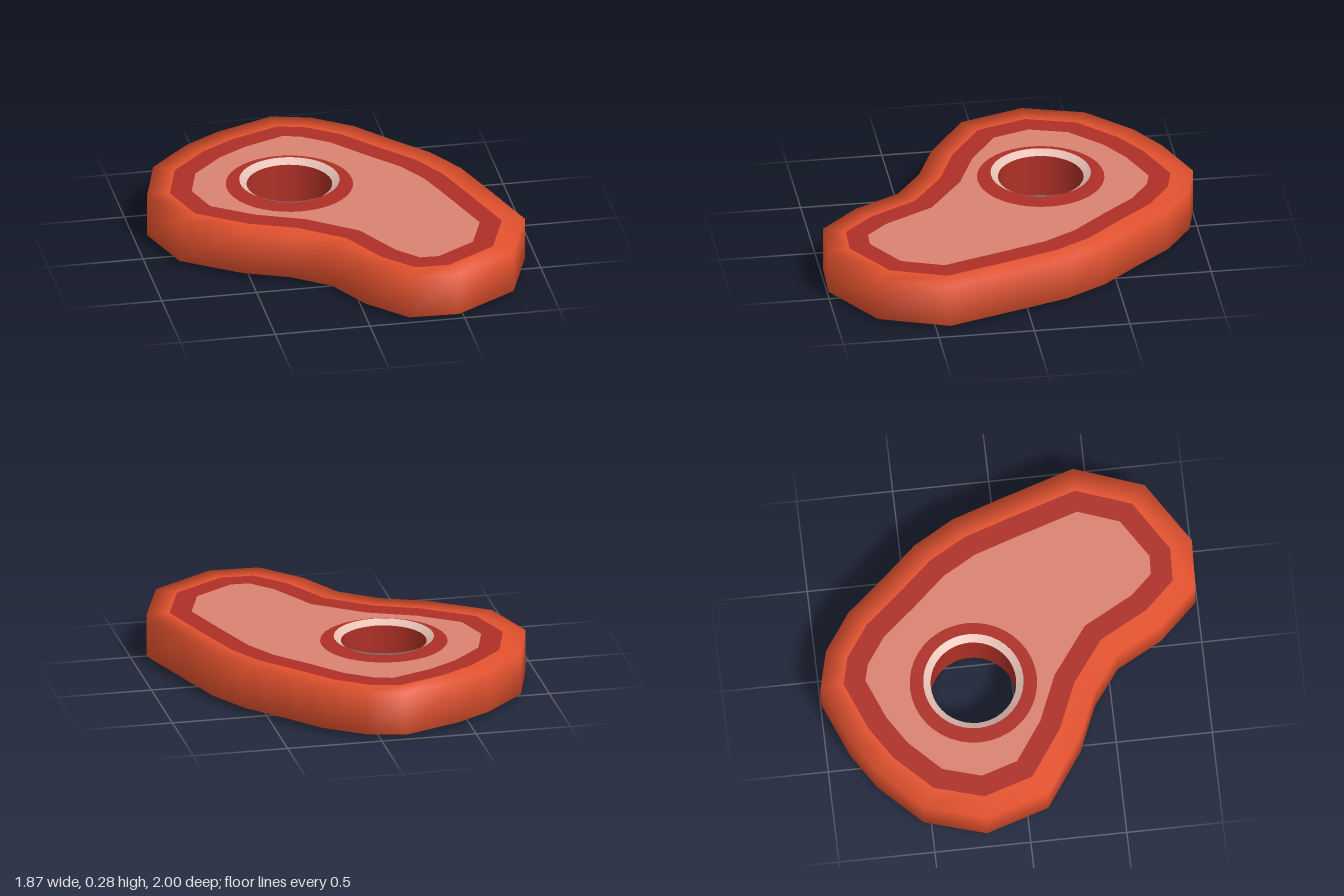
import * as THREE from 'three';

// Steak outline as seen from above, [x, z]
const OUTLINE = [
  [-0.13, -1], [0.07, -0.95], [0.27, -0.81], [0.43, -0.62], [0.6, -0.43], [0.72, -0.22],
  [0.8, 0.02], [0.93, 0.43], [0.8, 0.79], [0.47, 1], [0.21, 0.99], [0.02, 0.79],
  [-0.11, 0.55], [-0.3, 0.41], [-0.54, 0.31], [-0.83, 0.11], [-0.935, -0.22],
  [-0.84, -0.54], [-0.62, -0.76], [-0.43, -0.88],
].map(([x, z]) => new THREE.Vector2(x, z));

const BOTTOM = 0.025, TOP = 0.255;
const HOLE = { x: -0.186, z: -0.21, r: 0.222 };
const SEGMENTS = 40;

// Moves every corner inward by the same distance from both its edges
function inset(points, d) {
  const n = points.length;
  return points.map((p, i) => {
    const e1 = p.clone().sub(points[(i + n - 1) % n]).normalize();
    const e2 = points[(i + 1) % n].clone().sub(p).normalize();
    const n1 = new THREE.Vector2(-e1.y, e1.x), n2 = new THREE.Vector2(-e2.y, e2.x);
    const k = d / (1 + n1.dot(n2));
    return p.clone().add(n1.add(n2).multiplyScalar(k));
  });
}

const circle = (r) => Array.from({ length: SEGMENTS }, (_, i) => {
  const a = (i / SEGMENTS) * Math.PI * 2;
  return new THREE.Vector2(HOLE.x + r * Math.cos(a), HOLE.z + r * Math.sin(a));
});

// Flat face between an outline and a hole, facing up or down
function flatFace(outer, hole, y, up) {
  const flip = (pts) => pts.map((p) => new THREE.Vector2(p.x, up ? -p.y : p.y));
  const shape = new THREE.Shape(flip(outer));
  shape.holes.push(new THREE.Path(flip(hole)));
  return new THREE.ShapeGeometry(shape).rotateX(up ? -Math.PI / 2 : Math.PI / 2).translate(0, y, 0);
}

// Smooth skin through stacked outlines
function skin(rows) {
  const n = rows[0].points.length, positions = [], index = [];
  rows.forEach(({ points, y }) => points.forEach((p) => positions.push(p.x, y, p.y)));
  for (let r = 0; r < rows.length - 1; r++) {
    for (let i = 0; i < n; i++) {
      const a = r * n + i, b = r * n + (i + 1) % n;
      index.push(a, a + n, b, b, a + n, b + n);
    }
  }
  const geometry = new THREE.BufferGeometry();
  geometry.setAttribute('position', new THREE.Float32BufferAttribute(positions, 3));
  geometry.setIndex(index);
  geometry.computeVertexNormals();
  return geometry;
}

export function createModel() {
  const group = new THREE.Group();
  const material = (name, color, side = THREE.FrontSide) => {
    const m = new THREE.MeshStandardMaterial({ color, side });
    m.name = name;
    return m;
  };
  const fat = material('orange fat', 0xe6532f);
  const darkMeat = material('dark red meat', 0xae3026, THREE.DoubleSide);
  const pinkMeat = material('pink meat', 0xda8270);
  const bone = material('pale bone', 0xe6c0b4, THREE.DoubleSide);

  const add = (name, geometry, mat) => {
    const mesh = new THREE.Mesh(geometry, mat);
    mesh.name = name;
    group.add(mesh);
    return mesh;
  };

  const bandOuter = inset(OUTLINE, 0.115);
  const bandInner = inset(OUTLINE, 0.225);
  const holeEdge = circle(HOLE.r);
  const marrowEdge = circle(0.33);

  // Fat rim wrapping the side and both edges
  add('fatRim', skin([
    { points: bandOuter, y: BOTTOM }, { points: OUTLINE, y: BOTTOM },
    { points: OUTLINE, y: TOP }, { points: bandOuter, y: TOP },
  ]), fat);

  // Meat faces
  add('darkBand', flatFace(bandOuter, bandInner, TOP, true), darkMeat);
  add('pinkFace', flatFace(bandInner, marrowEdge, TOP, true), pinkMeat);
  add('darkRing', flatFace(marrowEdge, holeEdge, TOP, true), darkMeat);
  add('bottomFace', flatFace(bandOuter, holeEdge, BOTTOM, false), darkMeat);

  // Hole wall
  const wall = new THREE.CylinderGeometry(HOLE.r, HOLE.r, TOP - BOTTOM, SEGMENTS, 1, true);
  add('holeWall', wall, darkMeat).position.set(HOLE.x, (TOP + BOTTOM) / 2, HOLE.z);

  // Flared bone collars above and below
  for (const [name, rTop, rBottom, y] of [
    ['upperBoneCollar', 0.26, HOLE.r, TOP + 0.0125],
    ['lowerBoneCollar', HOLE.r, 0.26, BOTTOM - 0.0125],
  ]) {
    const collar = new THREE.CylinderGeometry(rTop, rBottom, 0.025, SEGMENTS, 1, true);
    add(name, collar, bone).position.set(HOLE.x, y, HOLE.z);
  }
  return group;
}
